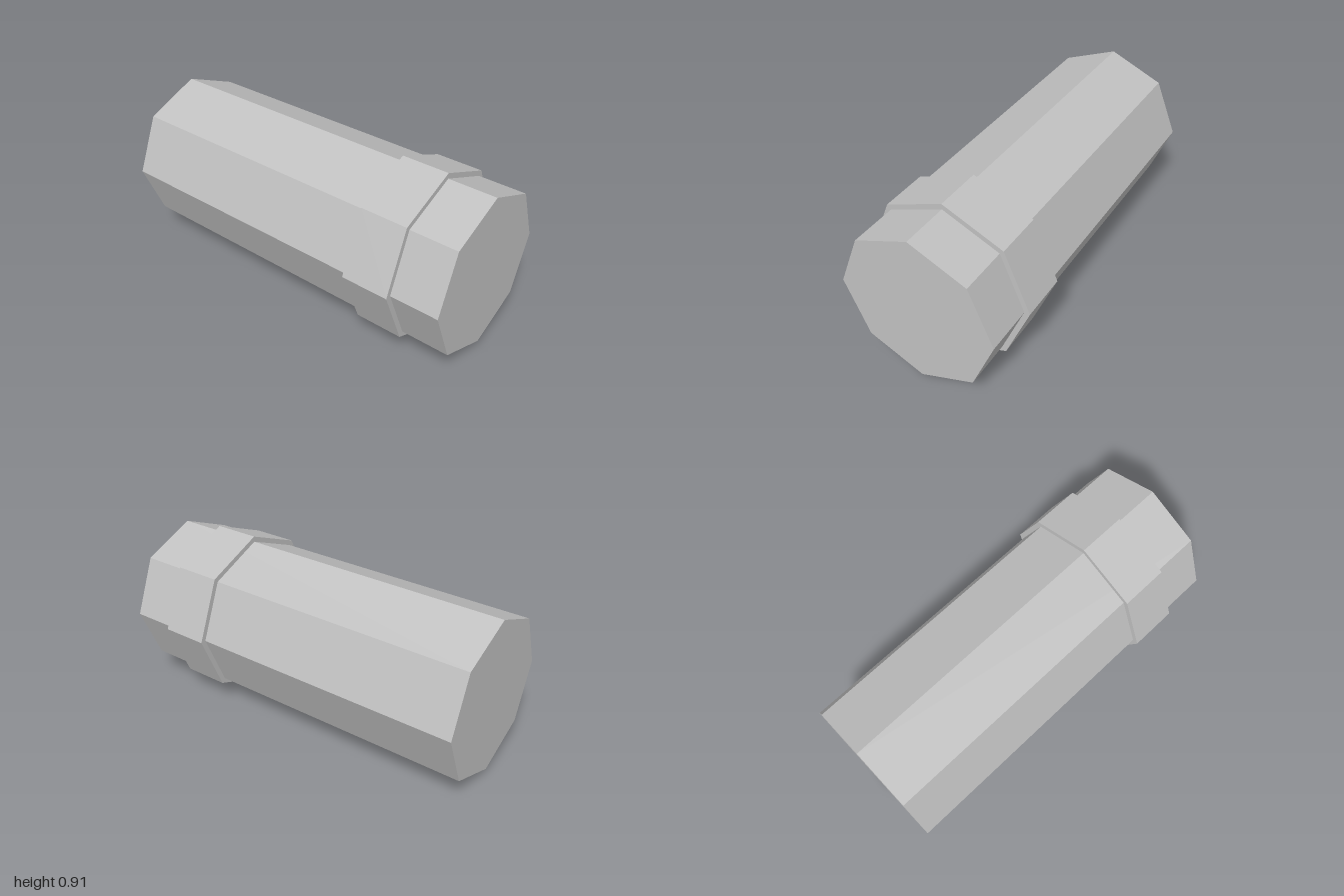
import * as THREE from 'three';

const CENTER_Y = 0.457;

export function createModel() {
  const model = new THREE.Group();
  model.name = 'octagonalPipe';
  const grey = new THREE.MeshStandardMaterial({ color: 0xc0c0c0, flatShading: true });
  grey.name = 'plain grey';

  // Eight-sided prism lying along z, with a corner pointing straight up
  function prism(name, radius, zBack, zFront) {
    const geometry = new THREE.CylinderGeometry(radius, radius, zFront - zBack, 8);
    geometry.rotateX(Math.PI / 2);
    const mesh = new THREE.Mesh(geometry, grey);
    mesh.name = name;
    mesh.position.set(0, CENTER_Y, (zBack + zFront) / 2);
    model.add(mesh);
  }

  prism('pipeBody', 0.427, -1, 1);
  // Raised band near the front end
  prism('collar', CENTER_Y, 0.487, 0.743);

  return model;
}
